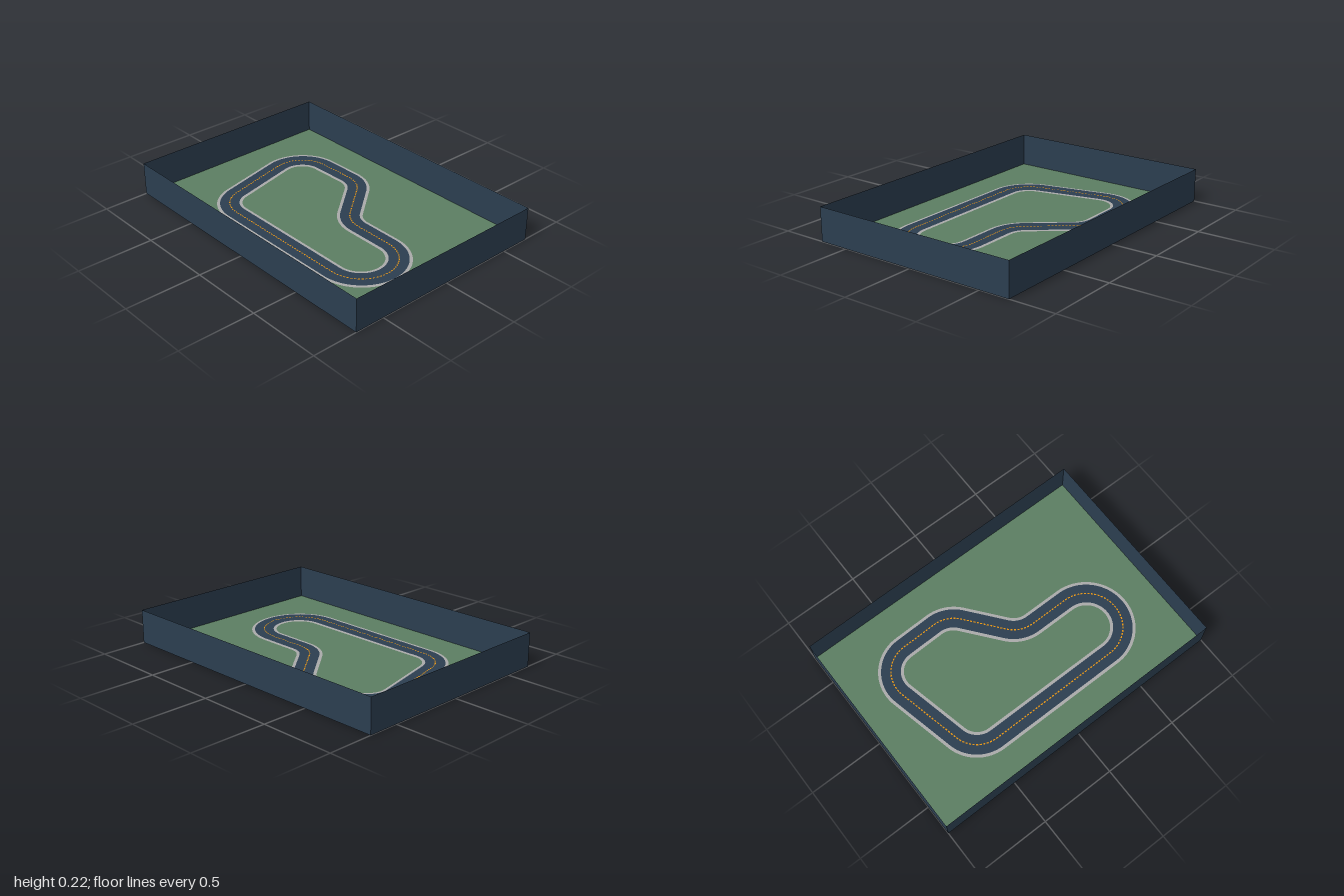
import * as THREE from 'three';

const W = 2, D = 1.4, H = 0.22;

// Centreline corners as [x, z, bend radius]
const corners = [
  [-0.573, 0.415, 0.2], [0.715, 0.415, 0.227], [0.715, -0.04, 0.227],
  [0.13, -0.04, 0.2], [-0.178, -0.423, 0.2], [-0.765, -0.41, 0.2],
];

// Closed path of straights joined by circular bends
function circuitPath() {
  const path = new THREE.Path();
  const pts = corners.map(([x, z]) => new THREE.Vector2(x, z));
  const n = pts.length;
  for (let i = 0; i < n; i++) {
    const c = pts[i], r = corners[i][2];
    const d1 = pts[(i + n - 1) % n].clone().sub(c).normalize();
    const d2 = pts[(i + 1) % n].clone().sub(c).normalize();
    const mid = d1.clone().add(d2).normalize();
    const half = Math.acos(d1.dot(mid));
    const centre = c.clone().addScaledVector(mid, r / Math.sin(half));
    const start = c.clone().addScaledVector(d1, r / Math.tan(half));
    const end = c.clone().addScaledVector(d2, r / Math.tan(half));
    if (i === 0) path.moveTo(start.x, start.y);
    else path.lineTo(start.x, start.y);
    path.absarc(centre.x, centre.y, r, start.sub(centre).angle(), end.sub(centre).angle(),
      d1.cross(d2) > 0);
  }
  path.closePath();
  return path;
}

// Flat strips following the path; each span is [from, to, steps]
function ribbon(path, spans, width, y) {
  const pos = [], index = [];
  for (const [from, to, steps] of spans) {
    const base = pos.length / 3;
    for (let i = 0; i <= steps; i++) {
      const t = from + (to - from) * i / steps;
      const p = path.getPoint(t), d = path.getTangent(t);
      const nx = -d.y * width / 2, nz = d.x * width / 2;
      pos.push(p.x + nx, y, p.y + nz, p.x - nx, y, p.y - nz);
      if (i < steps) {
        const a = base + i * 2;
        index.push(a, a + 2, a + 1, a + 1, a + 2, a + 3);
      }
    }
  }
  const g = new THREE.BufferGeometry();
  g.setAttribute('position', new THREE.Float32BufferAttribute(pos, 3));
  g.setIndex(index);
  g.computeVertexNormals();
  return g;
}

export function createModel() {
  const model = new THREE.Group();
  const material = (name, color) => {
    const m = new THREE.MeshStandardMaterial({ color, side: THREE.DoubleSide });
    m.name = name;
    return m;
  };
  const grass = material('grass green', 0x5c7e62);
  const slate = material('slate blue', 0x2c3e50);
  const kerb = material('kerb grey', 0xaaaaaa);
  const orange = material('marking orange', 0xf39c12);

  const add = (name, geometry, mat) => {
    const mesh = new THREE.Mesh(geometry, mat);
    mesh.name = name;
    model.add(mesh);
    return mesh;
  };

  // Ground
  add('ground', new THREE.PlaneGeometry(W, D).rotateX(-Math.PI / 2), grass);

  // Thin boundary walls
  for (const s of [1, -1]) {
    const facing = s > 0 ? 0 : Math.PI;
    add(s > 0 ? 'frontWall' : 'backWall',
      new THREE.PlaneGeometry(W, H).rotateY(facing).translate(0, H / 2, s * D / 2), slate);
    add(s > 0 ? 'leftWall' : 'rightWall',
      new THREE.PlaneGeometry(D, H).rotateY(s * Math.PI / 2).translate(s * W / 2, H / 2, 0), slate);
  }

  // Track layers: kerb, road, dashed centre line
  const path = circuitPath();
  add('kerb', ribbon(path, [[0, 1, 400]], 0.162, 0.002), kerb);
  add('road', ribbon(path, [[0, 1, 400]], 0.124, 0.004), slate);
  const count = Math.round(path.getLength() / 0.022);
  const dashes = Array.from({ length: count }, (_, i) => [i / count, (i + 0.6) / count, 1]);
  add('centreDashes', ribbon(path, dashes, 0.008, 0.006), orange);

  return model;
}
